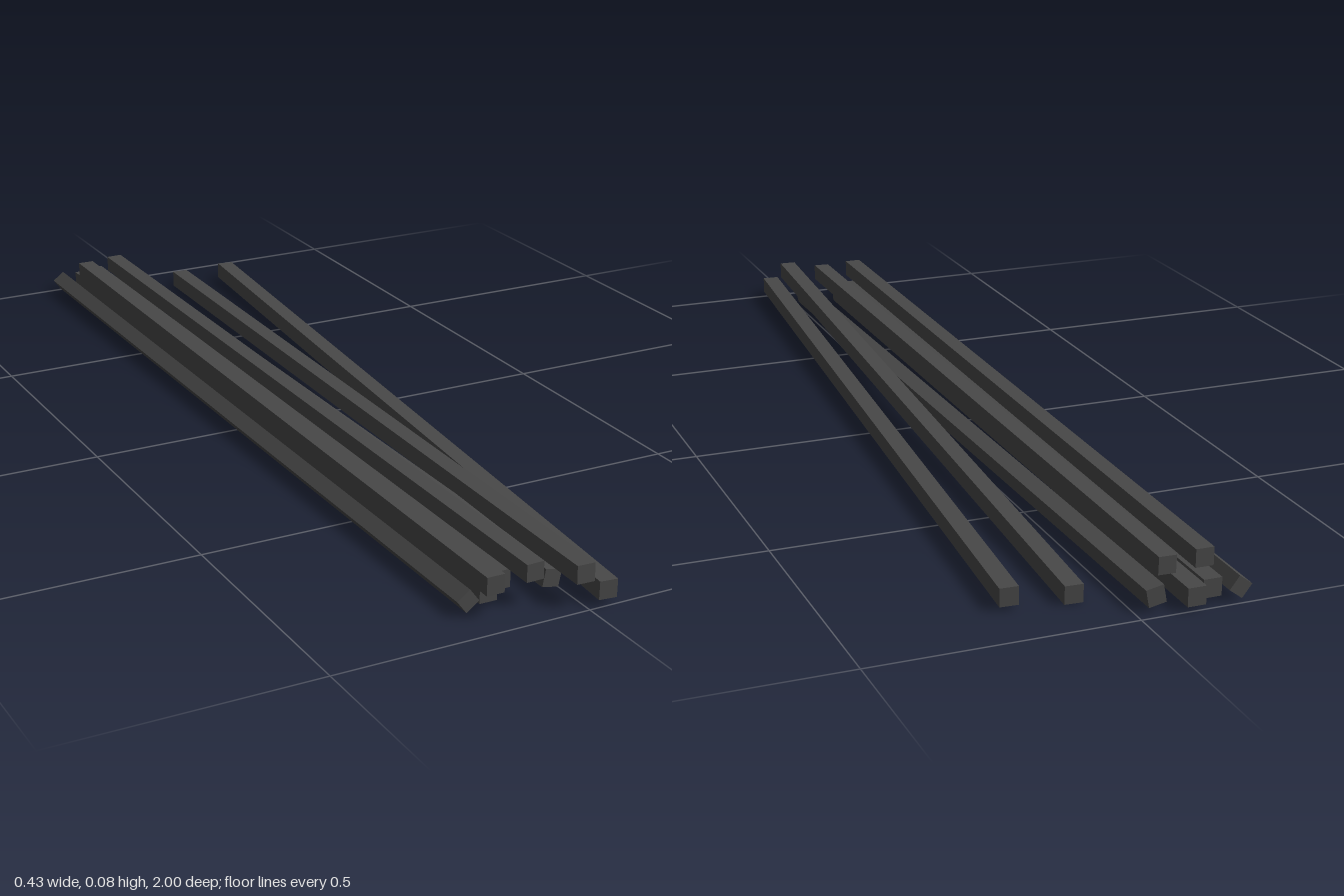
import * as THREE from 'three';

// Each bar: front centre, back centre, thickness, roll in degrees
const BARS = [
  // lower layer
  { front: [-0.194, 0.026, 0.92], back: [-0.193, 0.026, -0.99], size: 0.031, roll: 37 },
  { front: [-0.148, 0.027, 0.91], back: [-0.144, 0.028, -0.98], size: 0.035, roll: 0 },
  { front: [-0.103, 0.028, 0.88], back: [-0.104, 0.027, -1.0], size: 0.035, roll: 0 },
  { front: [-0.019, 0.026, 0.91], back: [-0.037, 0.03, -0.98], size: 0.034, roll: -11 },
  // upper layer
  { front: [-0.162, 0.065, 0.955], back: [-0.151, 0.065, -0.935], size: 0.035, roll: 0 },
  { front: [-0.077, 0.066, 0.945], back: [-0.074, 0.067, -0.945], size: 0.034, roll: 1 },
  // splayed bars
  { front: [-0.004, 0.066, 0.99], back: [0.079, 0.018, -0.9], size: 0.035, roll: 0 },
  { front: [0.038, 0.03, 0.998], back: [0.193, 0.026, -0.885], size: 0.035, roll: -1 },
];

export function createModel() {
  const model = new THREE.Group();
  model.name = 'barPile';
  const darkSteel = new THREE.MeshStandardMaterial({ color: 0x484848 });
  darkSteel.name = 'darkSteel';

  BARS.forEach(({ front, back, size, roll }, i) => {
    const a = new THREE.Vector3(...front);
    const b = new THREE.Vector3(...back);
    const bar = new THREE.Mesh(new THREE.BoxGeometry(size, size, a.distanceTo(b)), darkSteel);
    bar.name = `squareBar${i + 1}`;
    bar.position.copy(a).add(b).multiplyScalar(0.5);
    bar.lookAt(a);
    bar.rotateZ(THREE.MathUtils.degToRad(roll));
    model.add(bar);
  });
  return model;
}
